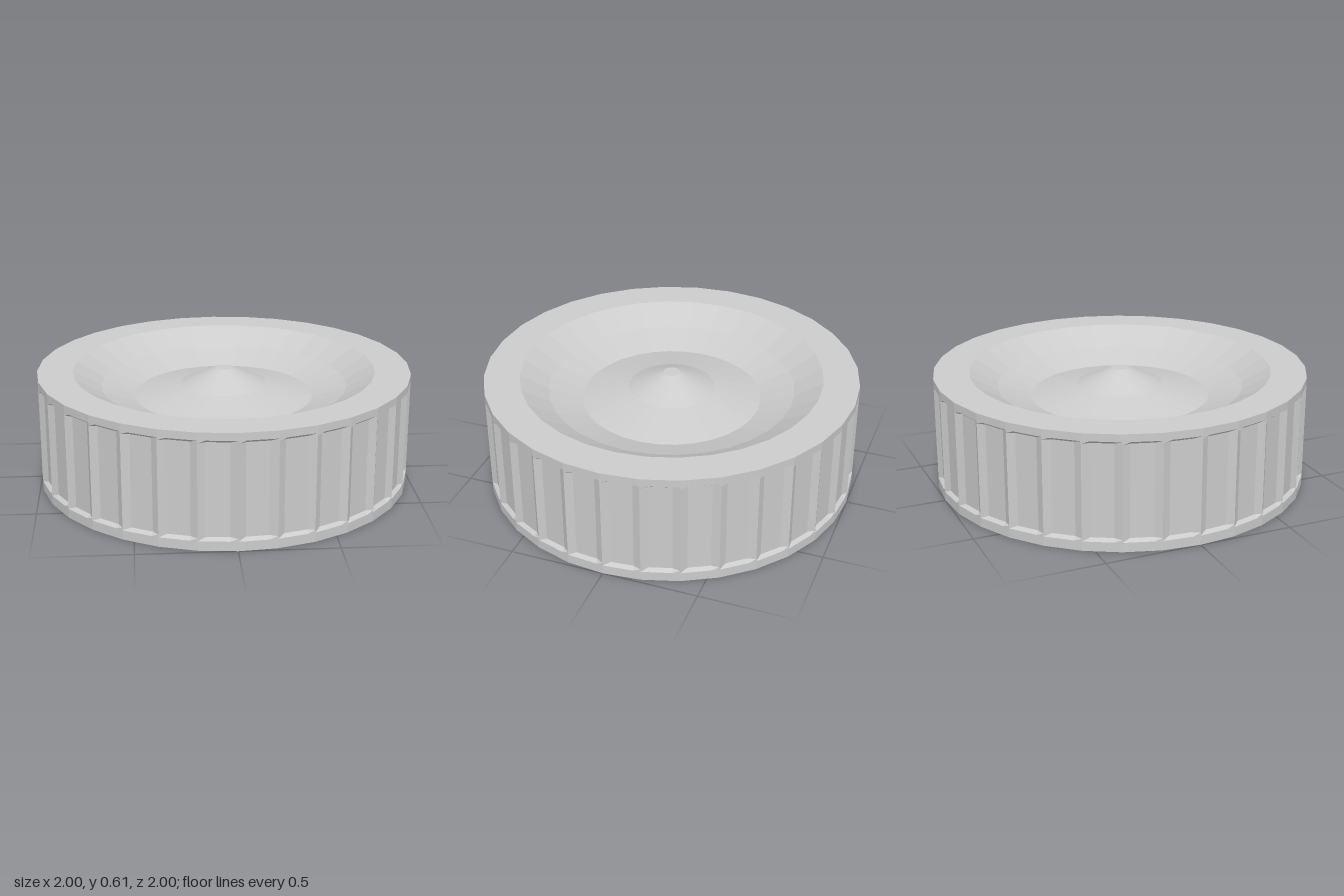
import * as THREE from 'three';

const SIDES = 32;
const HEIGHT = 0.61;
const FLUTE_DEPTH = 0.02;

const material = new THREE.MeshStandardMaterial({ color: 0xcccccc, flatShading: true });

function addMesh(group, name, geometry) {
  const mesh = new THREE.Mesh(geometry, material);
  mesh.name = name;
  group.add(mesh);
}

// Revolved surface from [radius, height] pairs
function revolve(profile) {
  return new THREE.LatheGeometry(profile.map(([r, y]) => new THREE.Vector2(r, y)), SIDES);
}

// One cross-section: each side of the polygon is cut in three, its middle pushed inward by depth
function crossSection(depth, y) {
  const points = [];
  for (let i = 0; i < SIDES; i++) {
    const a0 = (i / SIDES) * Math.PI * 2;
    const a1 = ((i + 1) / SIDES) * Math.PI * 2;
    const mid = (a0 + a1) / 2;
    for (const t of [0, 0.2, 0.8]) {
      const push = t === 0 ? 0 : depth;
      points.push(
        THREE.MathUtils.lerp(Math.sin(a0), Math.sin(a1), t) - push * Math.sin(mid),
        y,
        THREE.MathUtils.lerp(Math.cos(a0), Math.cos(a1), t) - push * Math.cos(mid)
      );
    }
  }
  return points;
}

// Side wall: plain bands at both ends, shallow flutes with sloped ends between them
function flutedWall() {
  const rings = [
    [0, 0], [0, 0.05], [FLUTE_DEPTH, 0.065],
    [FLUTE_DEPTH, 0.555], [0, 0.57], [0, HEIGHT],
  ];
  const positions = rings.flatMap(([depth, y]) => crossSection(depth, y));
  const n = SIDES * 3;
  const index = [];
  for (let j = 0; j < rings.length - 1; j++) {
    for (let i = 0; i < n; i++) {
      const a = j * n + i;
      const b = j * n + ((i + 1) % n);
      index.push(a, b, b + n, a, b + n, a + n);
    }
  }
  const geometry = new THREE.BufferGeometry();
  geometry.setAttribute('position', new THREE.Float32BufferAttribute(positions, 3));
  geometry.setIndex(index);
  geometry.computeVertexNormals();
  return geometry;
}

export function createModel() {
  const group = new THREE.Group();
  group.name = 'flutedDisc';

  addMesh(group, 'base', revolve([[0, 0], [1, 0]]));
  addMesh(group, 'flutedWall', flutedWall());
  addMesh(group, 'rim', revolve([[1, HEIGHT], [0.81, HEIGHT]]));
  // Stepped bowl sinking to a ring, then rising toward the middle
  addMesh(group, 'dish', revolve([[0.81, HEIGHT], [0.66, 0.523], [0.48, 0.462], [0.23, 0.523]]));
  // Central cone with a small flat tip
  addMesh(group, 'centreCone', revolve([[0.23, 0.523], [0.045, HEIGHT], [0, HEIGHT]]));

  return group;
}
